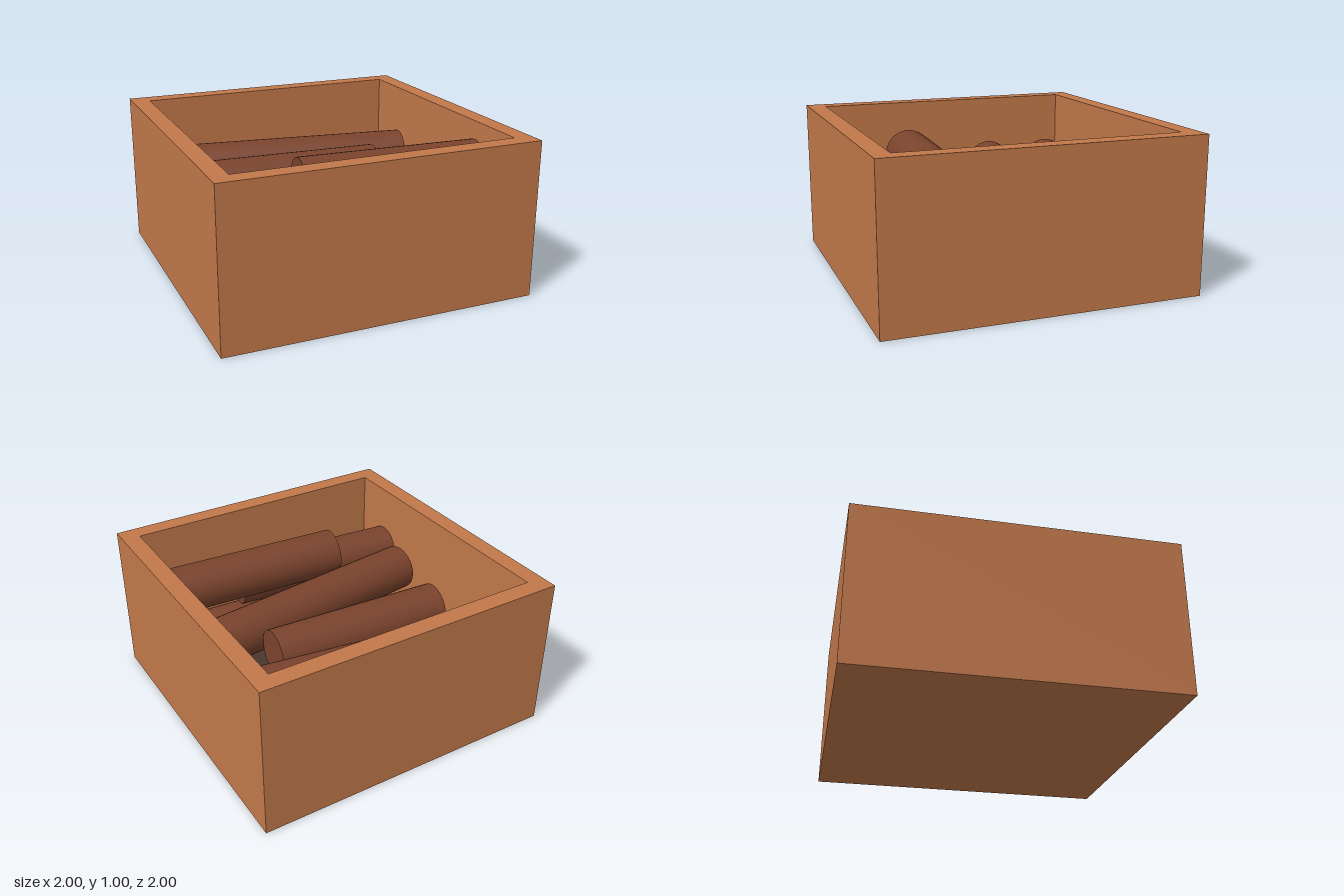
import * as THREE from 'three';

const mat = (color) => new THREE.MeshStandardMaterial({ color });
const brick = mat(0xc1784a);
const bark = mat(0x7a432d);
const ash = mat(0x4a352f);

const WALL = 0.885; // half width of the opening
const LOG_R = 0.153;

// Logs as [x1, z1, x2, z2, y]: the end points of the axis and its height
const LOGS = [
  // bottom layer
  [-0.37, -0.62, 0.81, -0.685, 0.265],
  [-0.835, -0.17, 0.79, -0.255, 0.265],
  [-0.75, 0.6, 0.75, 0.66, 0.265],
  // second layer
  [-0.65, -0.69, 0.84, -0.47, 0.555],
  [-0.685, -0.255, 0.49, -0.19, 0.56],
  [-0.78, 0.28, 0.835, 0.065, 0.57],
  [-0.89, 0.615, 0.29, 0.71, 0.55],
  // top log
  [-0.32, 0.45, 0.855, 0.52, 0.745],
];

function addLog(group, [x1, z1, x2, z2, y]) {
  const dir = new THREE.Vector3(x2 - x1, 0, z2 - z1);
  const geo = new THREE.CylinderGeometry(LOG_R, LOG_R, dir.length(), 32);
  const log = new THREE.Mesh(geo, bark);
  log.name = 'log';
  log.position.set((x1 + x2) / 2, y, (z1 + z2) / 2);
  log.quaternion.setFromUnitVectors(new THREE.Vector3(0, 1, 0), dir.normalize());
  group.add(log);
}

export function createModel() {
  const model = new THREE.Group();
  model.name = 'firePit';

  // Square open box: a four-sided lathe of the wall section
  const section = [[0, 0], [1, 0], [1, 1], [WALL, 1], [WALL, 0.1], [0, 0.1]]
    .map(([r, y]) => new THREE.Vector2(r * Math.SQRT2, y));
  const boxGeo = new THREE.LatheGeometry(section, 4).rotateY(Math.PI / 4).toNonIndexed();
  boxGeo.computeVertexNormals();
  const box = new THREE.Mesh(boxGeo, brick);
  box.name = 'box';
  model.add(box);

  // Dark bed covering the inner floor
  const bed = new THREE.Mesh(new THREE.BoxGeometry(WALL * 2, 0.03, WALL * 2), ash);
  bed.name = 'ashBed';
  bed.position.y = 0.1;
  model.add(bed);

  // Pile of logs
  const logs = new THREE.Group();
  logs.name = 'logs';
  LOGS.forEach((l) => addLog(logs, l));
  model.add(logs);

  return model;
}
